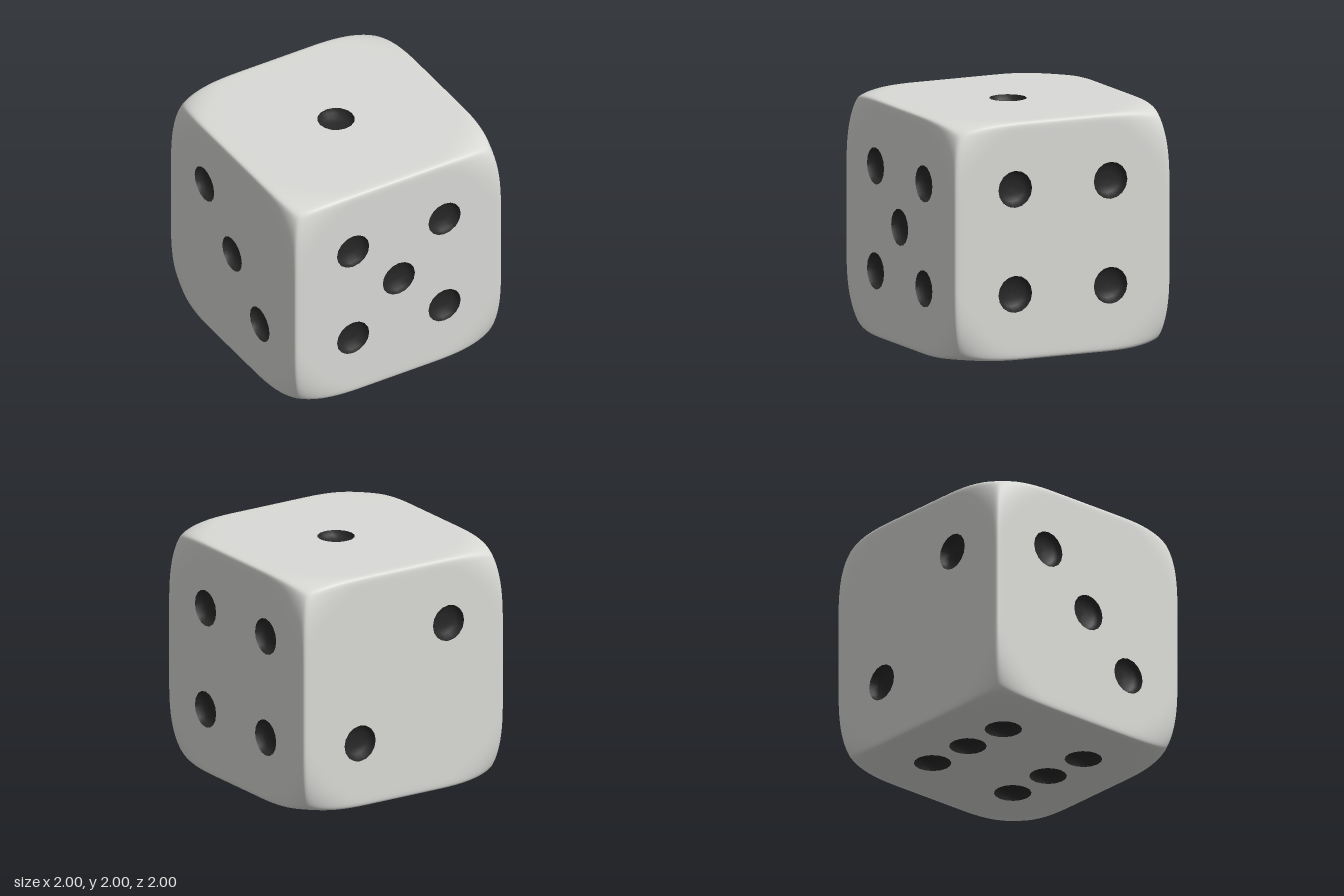
import * as THREE from 'three';
import { mergeGeometries, mergeVertices } from 'three/addons/utils/BufferGeometryUtils.js';

const PIP_R = 0.155, SIDES = 16, Q = 0.44, H = Math.PI / 2;
const INNER = 0.7;           // half size of the flat plate that carries the pips
const SEG = 40, STEPS = 16;  // ring resolution per side and outwards

// each face: rotation from +z, and pip centres as seen from outside
const FACES = [
  { name: 'front', rot: [0, 0, 0], pips: [[-Q, Q], [Q, Q], [0, 0], [-Q, -Q], [Q, -Q]] },
  { name: 'left', rot: [0, H, 0], pips: [[-Q, Q], [Q, Q], [-Q, -Q], [Q, -Q]] },
  { name: 'back', rot: [0, 2 * H, 0], pips: [[Q, Q], [-Q, -Q]] },
  { name: 'right', rot: [0, -H, 0], pips: [[-Q, Q], [0, 0], [Q, -Q]] },
  { name: 'top', rot: [-H, 0, 0], pips: [[0, 0]] },
  { name: 'bottom', rot: [H, 0, 0], pips: [[-Q, Q], [0, Q], [Q, Q], [-Q, -Q], [0, -Q], [Q, -Q]] },
];

// cube with tight edges, blended smoothly into a sphere at the corners
function onSurface(u, v) {
  const P = 60, R = 1.6, K = 0.16;
  const d = new THREE.Vector3(u, v, 1);
  const cube = d.length() / Math.pow(Math.abs(u) ** P + Math.abs(v) ** P + 1, 1 / P);
  const h = Math.max(K - Math.abs(cube - R), 0) / K;
  return d.setLength(Math.min(cube, R) - h * h * K / 4);
}

// unit square outline, counter-clockwise, denser towards the corners
function outline() {
  const pts = [];
  for (let side = 0; side < 4; side++) {
    for (let i = 0; i < SEG; i++) {
      const t = -Math.cos(Math.PI * i / SEG);
      pts.push([[1, t], [-t, 1], [-1, -t], [t, -1]][side]);
    }
  }
  return pts;
}

// rounded border of one face
function ringGeometry(square) {
  const pos = [], idx = [], n = square.length;
  for (let j = 0; j <= STEPS; j++) {
    const s = 1 - (1 - INNER) * (1 - j / STEPS) ** 2;
    for (const [x, y] of square) pos.push(...onSurface(x * s, y * s).toArray());
  }
  for (let j = 0; j < STEPS; j++) {
    for (let i = 0; i < n; i++) {
      const k = (i + 1) % n;
      const a = j * n + i, b = a + n, c = (j + 1) * n + k, d = j * n + k;
      idx.push(a, b, c, a, c, d);
    }
  }
  const g = new THREE.BufferGeometry();
  g.setAttribute('position', new THREE.Float32BufferAttribute(pos, 3));
  g.setIndex(idx);
  return g;
}

// flat middle of one face, with a hole for each pip
function plateGeometry(square, pips) {
  const shape = new THREE.Shape(square.map(([x, y]) => new THREE.Vector2(x * INNER, y * INNER)));
  for (const [x, y] of pips) {
    const hole = [];
    for (let i = 0; i < SIDES; i++) {
      const a = -i / SIDES * Math.PI * 2;
      hole.push(new THREE.Vector2(x + PIP_R * Math.cos(a), y + PIP_R * Math.sin(a)));
    }
    shape.holes.push(new THREE.Path(hole));
  }
  const g = new THREE.ShapeGeometry(shape).translate(0, 0, 1);
  g.deleteAttribute('normal');
  g.deleteAttribute('uv');
  return g;
}

export function createModel() {
  const ivory = new THREE.MeshStandardMaterial({ color: 0xdadad7 });
  ivory.name = 'off white';
  const black = new THREE.MeshStandardMaterial({ color: 0x272727 });
  black.name = 'pip black';

  const model = new THREE.Group();
  model.name = 'die';
  const square = outline();
  const parts = [];

  // shallow bowl, listed from rim to centre so it faces outwards
  const bowl = new THREE.LatheGeometry(
    [[PIP_R, 0], [0.145, -0.04], [0.115, -0.068], [0.06, -0.08], [0, -0.083]]
      .map(([r, y]) => new THREE.Vector2(r, y)), SIDES).rotateX(H);

  for (const { name, rot, pips } of FACES) {
    const turn = new THREE.Matrix4().makeRotationFromEuler(new THREE.Euler(...rot));
    parts.push(ringGeometry(square).applyMatrix4(turn), plateGeometry(square, pips).applyMatrix4(turn));

    // pips of this face
    const face = new THREE.Group();
    face.name = name + 'Pips';
    face.rotation.set(...rot);
    face.position.y = 1;
    for (const [x, y] of pips) {
      const pip = new THREE.Mesh(bowl, black);
      pip.name = 'pip';
      pip.position.set(x, y, 1);
      face.add(pip);
    }
    model.add(face);
  }

  // one welded body so shading runs smoothly across the edges
  const bodyGeometry = mergeVertices(mergeGeometries(parts), 1e-4);
  bodyGeometry.computeVertexNormals();
  const body = new THREE.Mesh(bodyGeometry, ivory);
  body.name = 'body';
  body.position.y = 1;
  model.add(body);
  return model;
}
